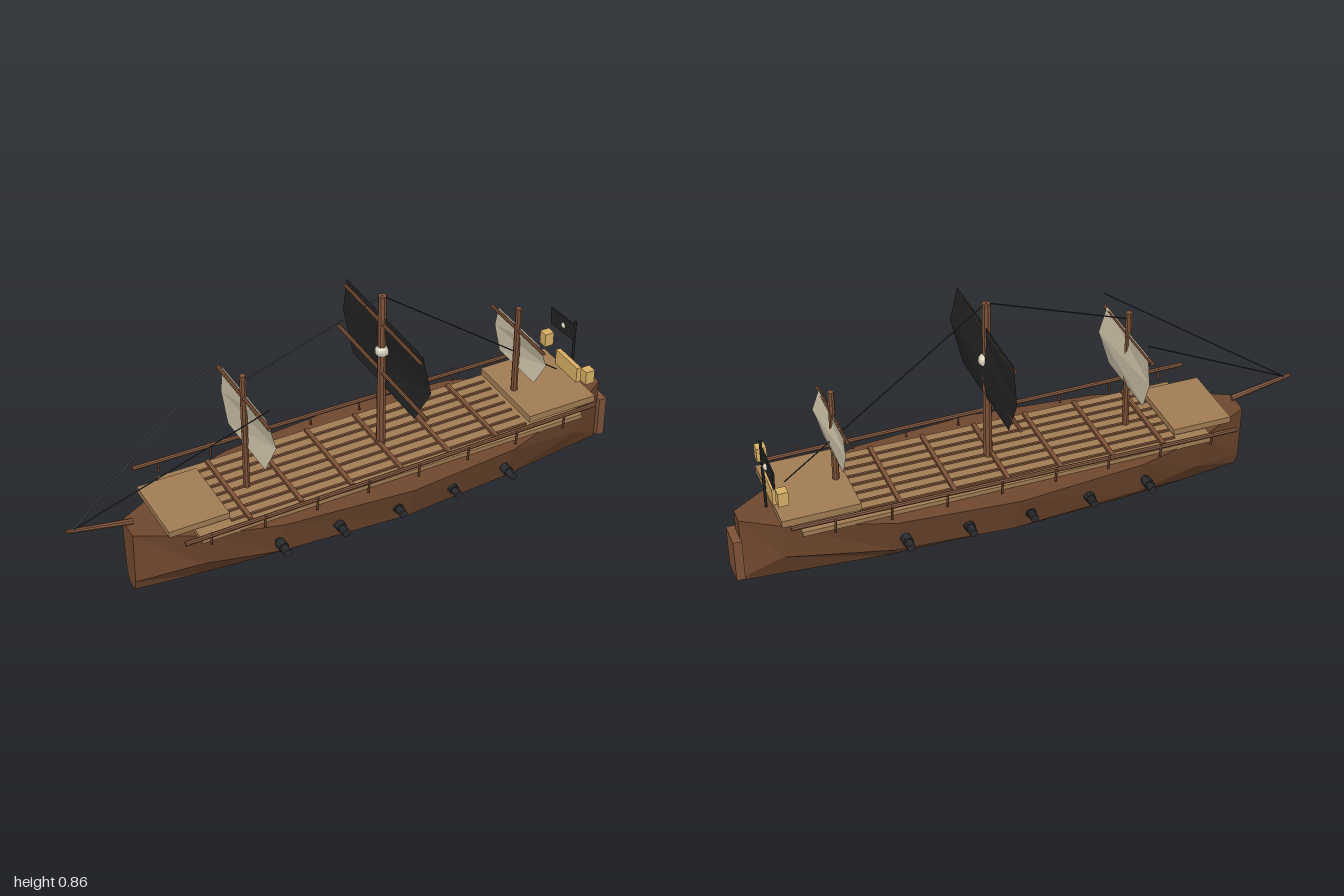
import * as THREE from 'three';

const mat = (color, extra = {}) => new THREE.MeshStandardMaterial({ color, flatShading: true, ...extra });
const M = {
  hull: mat(0x70482f, { side: THREE.DoubleSide }),
  wood: mat(0x7d5238),
  deck: mat(0xa07c54),
  iron: mat(0x2b2c2e),
  black: mat(0x222222, { side: THREE.DoubleSide }),
  cream: mat(0xc8bda4, { side: THREE.DoubleSide }),
  bone: mat(0xd6cfba),
  gold: mat(0xd8b066),
};

export function createModel() {
  const ship = new THREE.Group();
  ship.name = 'sailingShip';

  const add = (name, geometry, material) => {
    const mesh = new THREE.Mesh(geometry, material);
    mesh.name = name;
    ship.add(mesh);
    return mesh;
  };
  // box given by its extents on each axis
  const box = (name, material, [x0, x1], [y0, y1], [z0, z1]) => {
    const mesh = add(name, new THREE.BoxGeometry(x1 - x0, y1 - y0, z1 - z0), material);
    mesh.position.set((x0 + x1) / 2, (y0 + y1) / 2, (z0 + z1) / 2);
    return mesh;
  };
  // round bar between two points
  const rod = (name, material, from, to, r0, r1 = r0, sides = 8) => {
    const a = new THREE.Vector3(...from), b = new THREE.Vector3(...to);
    const dir = b.clone().sub(a);
    const mesh = add(name, new THREE.CylinderGeometry(r1, r0, dir.length(), sides), material);
    mesh.position.copy(a).add(b).multiplyScalar(0.5);
    mesh.quaternion.setFromUnitVectors(new THREE.Vector3(0, 1, 0), dir.normalize());
    return mesh;
  };
  const surface = (name, points, material) => {
    const g = new THREE.BufferGeometry().setFromPoints(points);
    g.computeVertexNormals();
    return add(name, g, material);
  };

  // Hull: [x, top half width, chine half width, bottom half width, chine height]
  const stations = [
    [-0.8, 0.045, 0.036, 0.02, 0.06],
    [-0.6, 0.15, 0.12, 0.045, 0.12],
    [-0.35, 0.22, 0.18, 0.068, 0.12],
    [0.1, 0.26, 0.213, 0.08, 0.12],
    [0.5, 0.225, 0.182, 0.07, 0.12],
    [0.85, 0.105, 0.085, 0.035, 0.12],
    [0.97, 0.028, 0.026, 0.022, 0.03],
  ];
  const rings = stations.map(([x, t, c, b, cy]) =>
    [[t, 0.26], [c, cy], [b, 0.016], [-b, 0.016], [-c, cy], [-t, 0.26]].map(([z, y]) => new THREE.Vector3(x, y, z)));
  const tris = [];
  for (let i = 0; i < rings.length - 1; i++) {
    for (let j = 0; j < 6; j++) {
      const k = (j + 1) % 6;
      const [a, b, c, d] = [rings[i][j], rings[i][k], rings[i + 1][k], rings[i + 1][j]];
      tris.push(a, b, c, a, c, d);
    }
  }
  const bow = rings[0], stern = rings[rings.length - 1];
  for (let j = 1; j < 5; j++) {
    tris.push(bow[0], bow[j + 1], bow[j], stern[0], stern[j], stern[j + 1]);
  }
  surface('hull', tris, M.hull);
  box('keel', M.gold, [-0.73, 0.89], [0, 0.02], [-0.012, 0.012]);
  box('rudder', M.wood, [0.968, 0.997], [0.037, 0.19], [-0.046, 0.046]);

  // Decks
  box('mainDeck', M.deck, [-0.62, 0.8], [0.258, 0.275], [-0.18, 0.18]);
  box('foreDeck', M.deck, [-0.71, -0.5], [0.28, 0.302], [-0.13, 0.13]);
  box('sternDeck', M.deck, [0.6, 0.86], [0.295, 0.32], [-0.16, 0.16]);
  box('foreDeckSupport', M.deck, [-0.6, -0.51], [0.27, 0.285], [-0.11, 0.11]);
  box('sternDeckSupport', M.deck, [0.62, 0.79], [0.27, 0.3], [-0.13, 0.13]);
  for (let i = -3; i <= 3; i++) {
    box('deckSeam', M.wood, [-0.5, 0.6], [0.273, 0.281], [i * 0.046 - 0.004, i * 0.046 + 0.004]);
  }
  for (let i = 0; i < 6; i++) {
    const x = -0.445 + i * 0.183;
    box('deckBeam', M.wood, [x - 0.007, x + 0.007], [0.279, 0.29], [-0.17, 0.17]);
  }

  // Rails with posts, and cannons, on both sides
  for (const s of [1, -1]) {
    rod('rail', M.wood, [-0.69, 0.31, s * 0.214], [0.84, 0.31, s * 0.192], 0.008);
    for (let i = 0; i < 8; i++) {
      const x = -0.6 + i * 0.186;
      rod('railPost', M.wood, [x, 0.268, s * 0.207], [x, 0.32, s * 0.214], 0.004, 0.004, 6);
    }
    for (let i = 0; i < 5; i++) {
      const x = -0.365 + i * 0.21;
      rod('cannonBarrel', M.iron, [x, 0.185, s * 0.2], [x, 0.185, s * 0.27], 0.014, 0.014, 10);
      rod('cannonBreech', M.iron, [x, 0.185, s * 0.21], [x, 0.185, s * 0.24], 0.018, 0.018, 10);
    }
  }

  // Masts, yards and bowsprit
  rod('foreMast', M.wood, [-0.38, 0.27, 0], [-0.38, 0.715, 0], 0.012, 0.011);
  rod('mainMast', M.wood, [0.115, 0.27, 0], [0.115, 0.86, 0], 0.016, 0.014);
  rod('mizzenMast', M.wood, [0.635, 0.27, 0], [0.635, 0.652, 0], 0.012, 0.011);
  rod('foreYard', M.wood, [-0.38, 0.63, -0.19], [-0.38, 0.63, 0.19], 0.007);
  rod('mainTopYard', M.wood, [0.115, 0.755, -0.253], [0.115, 0.755, 0.253], 0.006);
  rod('mainLowerYard', M.wood, [0.115, 0.567, -0.3], [0.115, 0.567, 0.3], 0.007);
  rod('mizzenYard', M.wood, [0.635, 0.567, -0.165], [0.635, 0.567, 0.165], 0.006);
  rod('bowsprit', M.wood, [-0.78, 0.28, 0], [-1, 0.322, 0], 0.011, 0.007);

  // Six-cornered sails, the middle row blown aft
  const sail = (name, material, x, rows, bulge) => {
    const left = rows.map(([y, z], i) => new THREE.Vector3(x + (i === 1 ? bulge : 0.004), y, z));
    const right = rows.map(([y, z], i) => new THREE.Vector3(x + (i === 1 ? 0.002 : 0.004), y, -z));
    const pts = [];
    for (let i = 0; i < 2; i++) {
      pts.push(left[i], left[i + 1], right[i + 1], left[i], right[i + 1], right[i]);
    }
    surface(name, pts, material);
  };
  sail('foreSail', M.cream, -0.38, [[0.645, 0.165], [0.54, 0.18], [0.435, 0.14]], 0.026);
  sail('mainSail', M.black, 0.117, [[0.778, 0.255], [0.645, 0.277], [0.51, 0.21]], 0.024);
  sail('mizzenSail', M.cream, 0.635, [[0.58, 0.13], [0.5, 0.145], [0.415, 0.11]], 0.026);

  // Rigging
  const tip = [-0.98, 0.32, 0], mainTop = [0.115, 0.86, 0];
  const ropes = [
    [tip, [-0.37, 0.69, 0.175]],
    [tip, [-0.37, 0.69, -0.175]],
    [[-0.38, 0.69, 0], mainTop],
    [mainTop, [0.805, 0.35, 0]],
  ];
  for (const [a, b] of ropes) rod('rope', M.iron, a, b, 0.0022, 0.0022, 5);

  // Round emblems on the main sail and the flag
  const ball = (name, r, x, y, z) => {
    const mesh = add(name, new THREE.SphereGeometry(r, 12, 8), M.bone);
    mesh.position.set(x, y, z);
    return mesh;
  };
  ball('sailEmblem', 0.022, 0.118, 0.65, 0).scale.set(1.25, 1.1, 1);

  // Stern fittings
  box('sternPanel', M.gold, [0.845, 0.862], [0.315, 0.378], [-0.066, 0.066]);
  for (const s of [1, -1]) {
    const z = s * 0.128;
    box('lantern', M.gold, [0.828, 0.862], [0.366, 0.416], [z - 0.017, z + 0.017]);
  }
  rod('flagPole', M.iron, [0.87, 0.27, 0], [0.87, 0.527, 0], 0.005, 0.005, 6);
  const flag = new THREE.Shape([[0, 0.447], [-0.14, 0.436], [-0.147, 0.5], [0, 0.51]].map(([z, y]) => new THREE.Vector2(-z, y)));
  const flagMesh = add('flag', new THREE.ExtrudeGeometry(flag, { depth: 0.006, bevelEnabled: false }), M.black);
  flagMesh.rotation.y = Math.PI / 2;
  flagMesh.position.x = 0.867;
  ball('flagEmblem', 0.012, 0.872, 0.472, -0.066);

  return ship;
}
